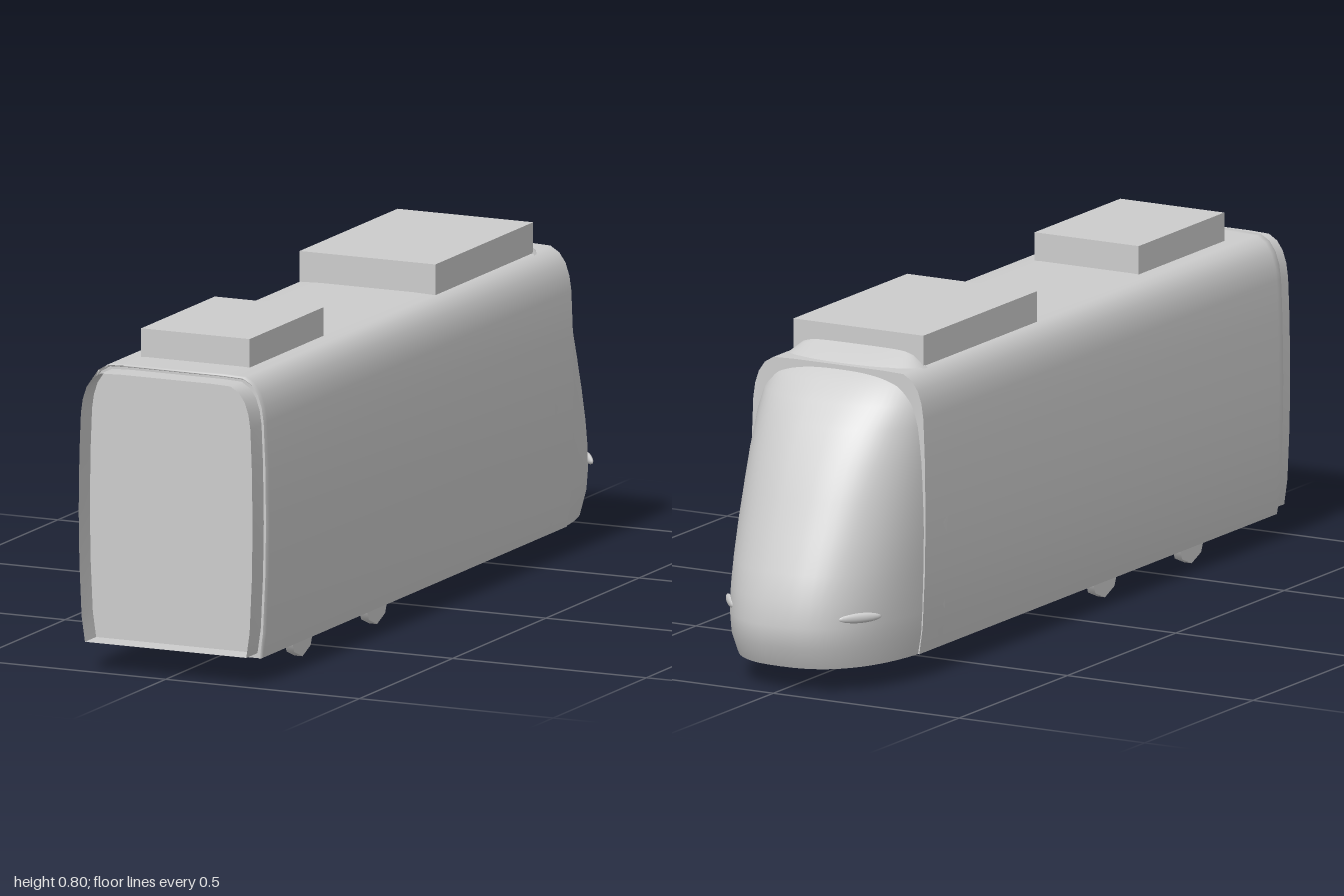
import * as THREE from 'three';

const NOSE_Z = -0.6;

// Smooth skin over rows of [x, y, z] points
function loft(rows) {
  const n = rows[0].length, index = [];
  for (let i = 0; i < rows.length - 1; i++) {
    for (let j = 0; j < n - 1; j++) {
      const a = i * n + j, b = a + 1, c = a + n, d = c + 1;
      index.push(a, c, b, b, c, d);
    }
  }
  const g = new THREE.BufferGeometry();
  g.setAttribute('position', new THREE.Float32BufferAttribute(rows.flat(2), 3));
  g.setIndex(index);
  g.computeVertexNormals();
  return g;
}

// Half cross-section of the car, floor to roof
const half = [
  [0.218, 0.058], [0.227, 0.12], [0.233, 0.25], [0.235, 0.38], [0.233, 0.52], [0.229, 0.62],
  [0.224, 0.655], [0.214, 0.685], [0.198, 0.708], [0.175, 0.722], [0.12, 0.724],
];
const section = [...half, ...half.map(([x, y]) => [-x, y]).reverse()];
const toShape = (pts) => new THREE.Shape(pts.map(([x, y]) => new THREE.Vector2(x, y)));

// Nose levels, roof to floor: height, half width, z of the tip
const noseLevels = [
  [0.757, 0.12, -0.601], [0.745, 0.15, -0.635], [0.72, 0.18, -0.69], [0.69, 0.207, -0.735],
  [0.65, 0.222, -0.775], [0.6, 0.228, -0.815], [0.52, 0.232, -0.862], [0.44, 0.234, -0.9],
  [0.36, 0.235, -0.935], [0.28, 0.233, -0.97], [0.22, 0.231, -0.99], [0.16, 0.229, -1],
  [0.11, 0.226, -0.995], [0.058, 0.218, -0.968],
];
// Superelliptic plan outline of one nose level, left to right
function noseRow([y, w, tip]) {
  return Array.from({ length: 33 }, (_, k) => {
    const a = (k / 32) * Math.PI, c = Math.cos(a), s = Math.max(0, Math.sin(a));
    return [
      w * Math.sign(c) * Math.abs(c) ** 0.8,
      y,
      NOSE_Z + (tip - NOSE_Z) * s ** 0.8,
    ];
  });
}

export function createModel() {
  const model = new THREE.Group();
  const grey = new THREE.MeshStandardMaterial({ color: 0xcccccc, side: THREE.DoubleSide });
  grey.name = 'plain grey';
  const add = (name, geometry, x = 0, y = 0, z = 0) => {
    const mesh = new THREE.Mesh(geometry, grey);
    mesh.name = name;
    mesh.position.set(x, y, z);
    model.add(mesh);
    return mesh;
  };

  // Car body: skin with slightly bevelled front end, end walls and floor
  const rowAt = (z, s = 1) => section.map(([x, y]) => [x * s, 0.39 + (y - 0.39) * s, z]);
  add('bodyShell', loft([rowAt(0.94, 0.985), rowAt(0.95), rowAt(0.93), rowAt(-0.7)]));
  add('frontWall', new THREE.ShapeGeometry(toShape(section)), 0, 0, 0.94);
  add('rearWall', new THREE.ShapeGeometry(toShape(section)).rotateY(Math.PI), 0, 0, -0.7);
  add('floor', new THREE.PlaneGeometry(0.436, 1.64).rotateX(Math.PI / 2), 0, 0.058, 0.12);

  // Open collar around the recessed front wall
  const collar = section.map(([x, y]) => [x * 0.955, 0.07 + (y - 0.058) * 0.966]);
  add('frontCollar', loft([1, 0.94].map((z) => collar.map(([x, y]) => [x, y, z]))));
  add('collarFloor', new THREE.PlaneGeometry(0.416, 0.06).rotateX(Math.PI / 2), 0, 0.07, 0.97);

  // Streamlined nose and its flat underside
  const rows = noseLevels.map(noseRow);
  add('nose', loft(rows));
  const plan = rows[rows.length - 1].map(([x, , z]) => [x, z]);
  add('noseFloor', new THREE.ShapeGeometry(toShape(plan)).rotateX(Math.PI / 2), 0, 0.058, 0);

  // Roof boxes
  add('frontRoofBox', new THREE.BoxGeometry(0.28, 0.08, 0.395), 0, 0.751, 0.643);
  add('rearRoofBox', new THREE.BoxGeometry(0.35, 0.08, 0.525), 0, 0.755, -0.345);

  for (const side of [1, -1]) {
    // Wheels, half sunk in the floor
    for (const z of [0.63, 0.23]) {
      const wheel = new THREE.CylinderGeometry(0.062, 0.062, 0.02, 8).rotateZ(Math.PI / 2);
      add('wheel', wheel, side * 0.165, 0.062, z);
    }
    // Slim lamp bulges on the nose
    const lamp = new THREE.SphereGeometry(1, 20, 10).scale(0.008, 0.012, 0.055);
    add('lamp', lamp, side * 0.174, 0.18, -0.9).rotation.y = side * 0.66;
  }
  return model;
}
